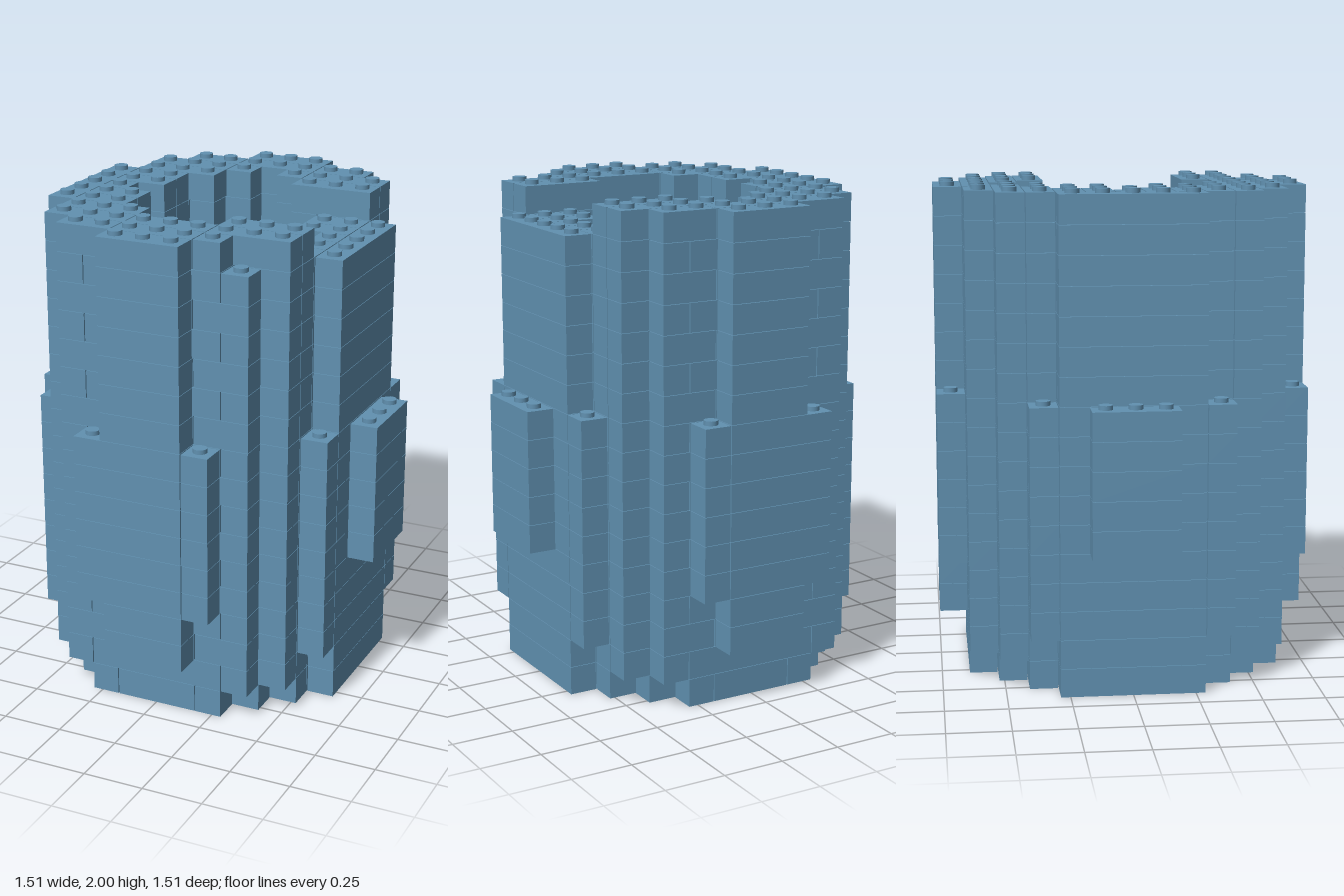
import * as THREE from 'three';
import { mergeGeometries } from 'three/addons/utils/BufferGeometryUtils.js';

const P = 0.1162;      // stud pitch
const H = 0.1166;      // brick height
const STUD_H = 0.018;
const GAP = 0.004;
const LAYERS = 17;
const R = 6;           // cells run from -R to R on both axes

// Half widths in x for each |z| row of the outside, by layer
function outerRows(l) {
  if (l === 1) return [5, 5, 5, 4, 3, 2, -1];
  if (l === 2) return [5, 5, 5, 4, 4, 3, -1];
  if (l <= 4) return [5, 5, 5, 5, 4, 3, 1];
  if (l === 5) return [5, 5, 5, 5, 4, 3, 2];
  if (l <= 10) return [6, 6, 5, 5, 4, 3, 2];
  return [5, 5, 5, 4, 4, 3, 1];
}

// Half widths of the hollow
function innerRows(l) {
  if (l <= 3) return [];
  if (l === 4) return [3, 3, 2, 1];
  if (l <= 10) return [3, 3, 2, 2];
  return [3, 2, 2, 1];
}

function filled(l, x, z) {
  if (l < 1 || l > LAYERS || Math.abs(x) > R || Math.abs(z) > R) return false;
  const ax = Math.abs(x), az = Math.abs(z);
  if (ax > outerRows(l)[az]) return false;
  if (ax <= (innerRows(l)[az] ?? -1)) return false;
  if (l >= 14 && x === 0 && z === -4) return false;      // recess in the back wall
  if (l === LAYERS && x >= 3 && az <= 2) return false;   // notch in the rim
  if (l === LAYERS && x === 3 && z === 5) return false;
  return true;
}

// Side cells belong to bricks that run front to back
const isSide = (x) => Math.abs(x) >= 5;

function brick(l, x0, x1, z0, z1) {
  return new THREE.BoxGeometry((x1 - x0 + 1) * P - GAP, H - GAP / 2, (z1 - z0 + 1) * P - GAP)
    .translate((x0 + x1) / 2 * P, (l - 0.5) * H, (z0 + z1) / 2 * P);
}

// Consecutive cells for which test() holds, as [first, last] pairs
function runs(test, breaks) {
  const out = [];
  let start = null;
  for (let i = -R; i <= R + 1; i++) {
    const on = i <= R && test(i);
    if (start !== null && (!on || breaks.includes(i))) {
      out.push([start, i - 1]);
      start = null;
    }
    if (on && start === null) start = i;
  }
  return out;
}

function layerBricks(l) {
  const parts = [];
  for (let z = -R; z <= R; z++) {
    // Seams are staggered from one layer to the next
    const breaks = Math.abs(z) === 6 ? [2] : l % 2 ? [-1, 2] : [-2, 3];
    for (const [a, b] of runs((x) => !isSide(x) && filled(l, x, z), breaks)) {
      parts.push(brick(l, a, b, z, z));
    }
  }
  for (const x of [-6, -5, 5, 6]) {
    for (const [a, b] of runs((z) => filled(l, x, z), [-2, 3])) {
      parts.push(brick(l, x, x, a, b));
    }
  }
  return mergeGeometries(parts);
}

// Studs only where no brick sits on top
function layerStuds(l) {
  const parts = [];
  for (let x = -R; x <= R; x++) {
    for (let z = -R; z <= R; z++) {
      if (!filled(l, x, z) || filled(l + 1, x, z)) continue;
      parts.push(new THREE.CylinderGeometry(0.0285, 0.0285, STUD_H, 16)
        .translate(x * P, l * H + STUD_H / 2, z * P));
    }
  }
  return parts.length ? mergeGeometries(parts) : null;
}

export function createModel() {
  const model = new THREE.Group();
  model.name = 'brickVessel';
  const blue = new THREE.MeshStandardMaterial({ color: 0x6191b1 });
  blue.name = 'dustyBlue';

  for (let l = 1; l <= LAYERS; l++) {
    const layer = new THREE.Group();
    layer.name = l <= 3 ? `baseLayer${l}` : `wallLayer${l}`;
    const bricks = new THREE.Mesh(layerBricks(l), blue);
    bricks.name = 'bricks';
    layer.add(bricks);
    const studGeometry = layerStuds(l);
    if (studGeometry) {
      const studs = new THREE.Mesh(studGeometry, blue);
      studs.name = 'studs';
      layer.add(studs);
    }
    model.add(layer);
  }
  return model;
}
